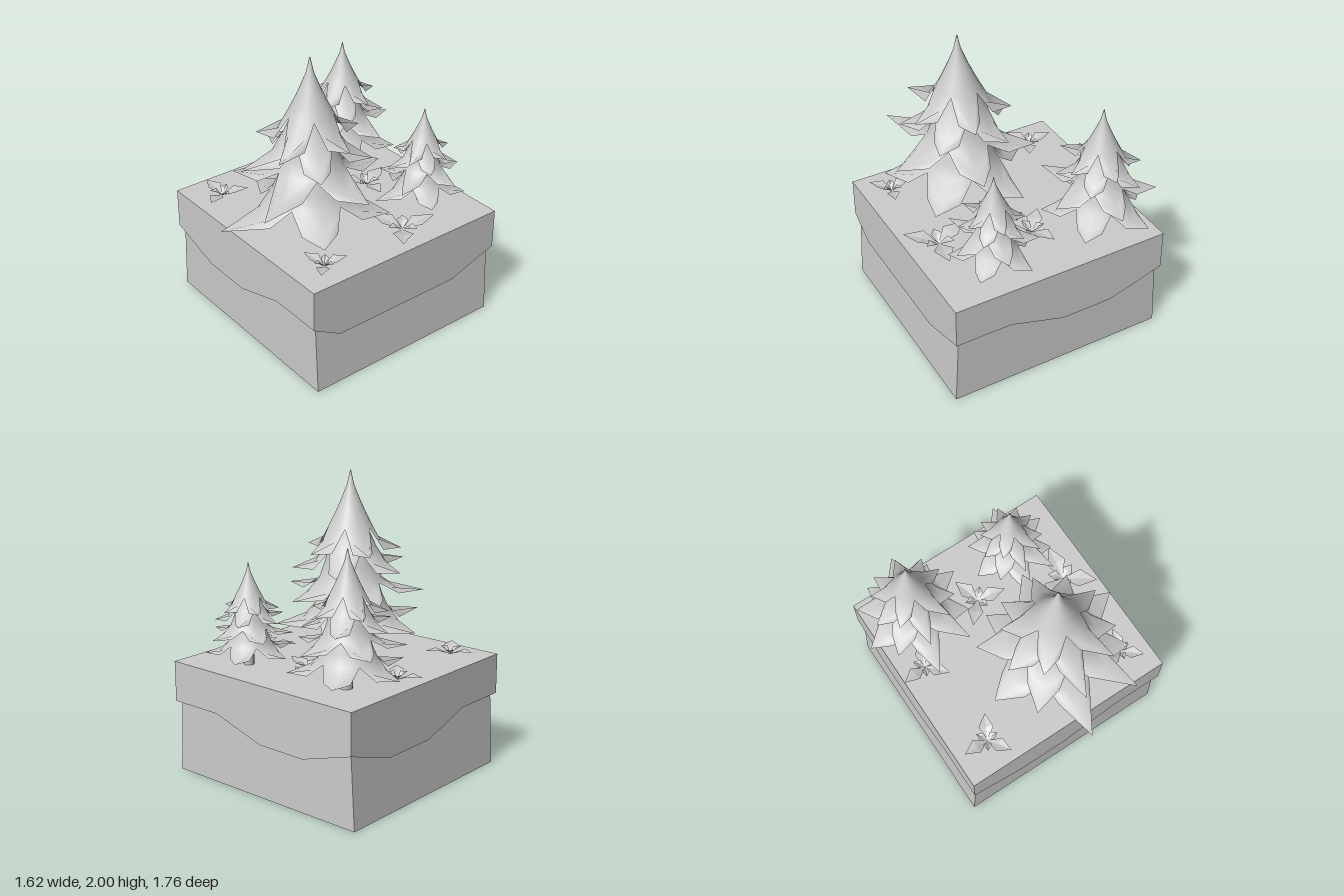
import * as THREE from 'three';

const mat = new THREE.MeshStandardMaterial({ color: 0xcccccc });
const thin = new THREE.MeshStandardMaterial({ color: 0xcccccc, side: THREE.DoubleSide });
const flat = new THREE.MeshStandardMaterial({ color: 0xcccccc, side: THREE.DoubleSide, flatShading: true });

// Block extents and ground height
const X0 = -0.755, X1 = 0.793, Z0 = -0.85, Z1 = 0.69, GROUND = 0.78, SKIRT = 0.03;

function add(parent, name, geometry, material = mat) {
  const mesh = new THREE.Mesh(geometry, material);
  mesh.name = name;
  parent.add(mesh);
  return mesh;
}

function surface(points, index) {
  const g = new THREE.BufferGeometry();
  g.setAttribute('position', new THREE.Float32BufferAttribute(points, 3));
  g.setIndex(index);
  g.computeVertexNormals();
  return g;
}

// Hanging turf panel: flat top, wavy lower edge given as [position, height]
function turfPanel(edge) {
  const first = edge[0][0], last = edge[edge.length - 1][0];
  const shape = new THREE.Shape();
  shape.moveTo(last, 0.74);
  shape.lineTo(first, 0.74);
  edge.forEach(([s, y]) => shape.lineTo(s, y));
  return new THREE.ExtrudeGeometry(shape, { depth: SKIRT, bevelEnabled: false });
}

function groundBlock() {
  const block = new THREE.Group();
  block.name = 'groundBlock';
  const cx = (X0 + X1) / 2, cz = (Z0 + Z1) / 2;

  // Earth narrows upward in x only
  const earth = new THREE.BoxGeometry(X1 - X0, 0.74, Z1 - Z0 - 0.06);
  const p = earth.attributes.position;
  for (let i = 0; i < p.count; i++) if (p.getY(i) > 0) p.setX(i, p.getX(i) * 0.948);
  earth.translate(cx, 0.37, cz);
  earth.computeVertexNormals();
  add(block, 'earth', earth);

  const top = new THREE.BoxGeometry(X1 - X0, 0.04, Z1 - Z0);
  add(block, 'turfTop', top).position.set(cx, 0.76, cz);

  const frontEdge = [[X0, 0.5], [-0.36, 0.38], [0.01, 0.38], [0.4, 0.5], [X1, 0.5]];
  add(block, 'turfFront', turfPanel(frontEdge)).position.z = Z1 - SKIRT;
  add(block, 'turfBack', turfPanel(frontEdge)).position.z = Z0;

  // Side panels are drawn along -z
  const leftEdge = [[-Z1, 0.5], [-0.48, 0.38], [0.48, 0.38], [-Z0, 0.5]];
  const rightEdge = [[-Z1, 0.5], [-0.29, 0.5], [0.08, 0.38], [0.48, 0.38], [-Z0, 0.5]];
  add(block, 'turfLeft', turfPanel(leftEdge).rotateY(Math.PI / 2)).position.x = X1 - SKIRT;
  add(block, 'turfRight', turfPanel(rightEdge).rotateY(Math.PI / 2)).position.x = X0;
  return block;
}

// Branch tiers from top to bottom: [radius, height] for the inner profile, gap and tip
const TIERS = [
  { rows: [[0.003, 1.22], [0.025, 1.12], [0.065, 1.02], [0.11, 0.92]], gap: [0.145, 0.85], tip: [0.35, 0.68], turn: 64 },
  { rows: [[0.08, 0.95], [0.13, 0.8]], gap: [0.18, 0.69], tip: [0.4, 0.55], turn: 100 },
  { rows: [[0.13, 0.76], [0.18, 0.58]], gap: [0.22, 0.47], tip: [0.51, 0.38], turn: 64 },
  { rows: [[0.17, 0.52], [0.22, 0.36]], gap: [0.26, 0.27], tip: [0.52, 0.15], turn: 100 },
];

// Reach from gap to tip around each leaf, for the bend and for the hem
const BEND = [0.4, 0.24, 0.015, 0.24];
const HEM = [1, 0.43, 0.03, 0.43];

// Five-pointed skirt: a steep cone whose leaves hang down, then level out into tips
function tierGeometry({ rows, gap, tip, turn }) {
  const points = [], index = [], segments = 20, rings = rows.length + 3;
  for (let r = 0; r < rings; r++) {
    for (let i = 0; i < segments; i++) {
      const a = THREE.MathUtils.degToRad(turn) + (i / segments) * Math.PI * 2;
      let [radius, y] = rows[r] ?? gap;
      if (r > rings - 3) {
        const k = (r === rings - 1 ? HEM : BEND)[i % 4];
        // The front leaf is the longest
        const reach = i === 0 ? tip[0] * 1.23 : tip[0];
        radius = THREE.MathUtils.lerp(gap[0], reach, k);
        y = THREE.MathUtils.lerp(gap[1], tip[1], Math.min(k / 0.43, 1));
      }
      points.push(Math.cos(a) * radius, y, Math.sin(a) * radius);
      if (r < rings - 1) {
        const p = r * segments + i, n = r * segments + (i + 1) % segments;
        // Mirror the diagonals about each tip
        if (i % 4 < 2) index.push(p, n, p + segments, n, n + segments, p + segments);
        else index.push(p, n, n + segments, p, n + segments, p + segments);
      }
    }
  }
  return surface(points, index);
}

function tree(name, x, z, scale) {
  const g = new THREE.Group();
  g.name = name;
  // Slightly bent trunk, wider at the foot
  const trunk = new THREE.CylinderGeometry(0.045, 0.06, 0.5, 10, 5, true).translate(0, 0.25, 0);
  const p = trunk.attributes.position;
  for (let i = 0; i < p.count; i++) {
    const t = 1 - p.getY(i) / 0.5;
    p.setX(i, p.getX(i) + 0.018 * t * t);
  }
  trunk.computeVertexNormals();
  add(g, 'trunk', trunk, thin);
  TIERS.forEach((tier, i) => add(g, 'branchTier' + (i + 1), tierGeometry(tier), thin));
  g.position.set(x, GROUND, z);
  g.scale.setScalar(scale);
  return g;
}

// Diamond leaf folded along its midrib, pointing along +x
function leafGeometry(length, width, rise) {
  return surface([
    0, 0, 0,
    length * 0.48, rise, width / 2,
    length * 0.48, rise * 0.75, 0,
    length * 0.48, rise, -width / 2,
    length, rise, 0,
  ], [0, 1, 2, 0, 2, 3, 1, 4, 2, 2, 4, 3]);
}

function plant(x, z, size, turn) {
  const g = new THREE.Group();
  g.name = 'groundPlant';
  for (let i = 0; i < 3; i++) {
    const a = -THREE.MathUtils.degToRad(turn + i * 120);
    add(g, 'outerLeaf', leafGeometry(size, size * 0.55, 0.042), flat).rotation.y = a;
    add(g, 'innerLeaf', leafGeometry(size * 0.45, size * 0.32, 0.045), flat).rotation.y = a - Math.PI / 3;
  }
  g.position.set(x, GROUND, z);
  return g;
}

export function createModel() {
  const model = new THREE.Group();
  model.name = 'forestBlock';
  model.add(groundBlock());
  model.add(tree('largeTree', 0.177, 0.24, 1));
  model.add(tree('mediumTree', -0.45, -0.525, 0.73));
  model.add(tree('smallTree', 0.365, -0.565, 0.565));
  [
    [-0.01, -0.4, 0.2, -108],
    [0.58, -0.21, 0.24, -80],
    [-0.58, -0.19, 0.18, 170],
    [-0.51, 0.48, 0.18, -62],
    [0.6, 0.46, 0.16, -75],
  ].forEach((args) => model.add(plant(...args)));
  return model;
}
